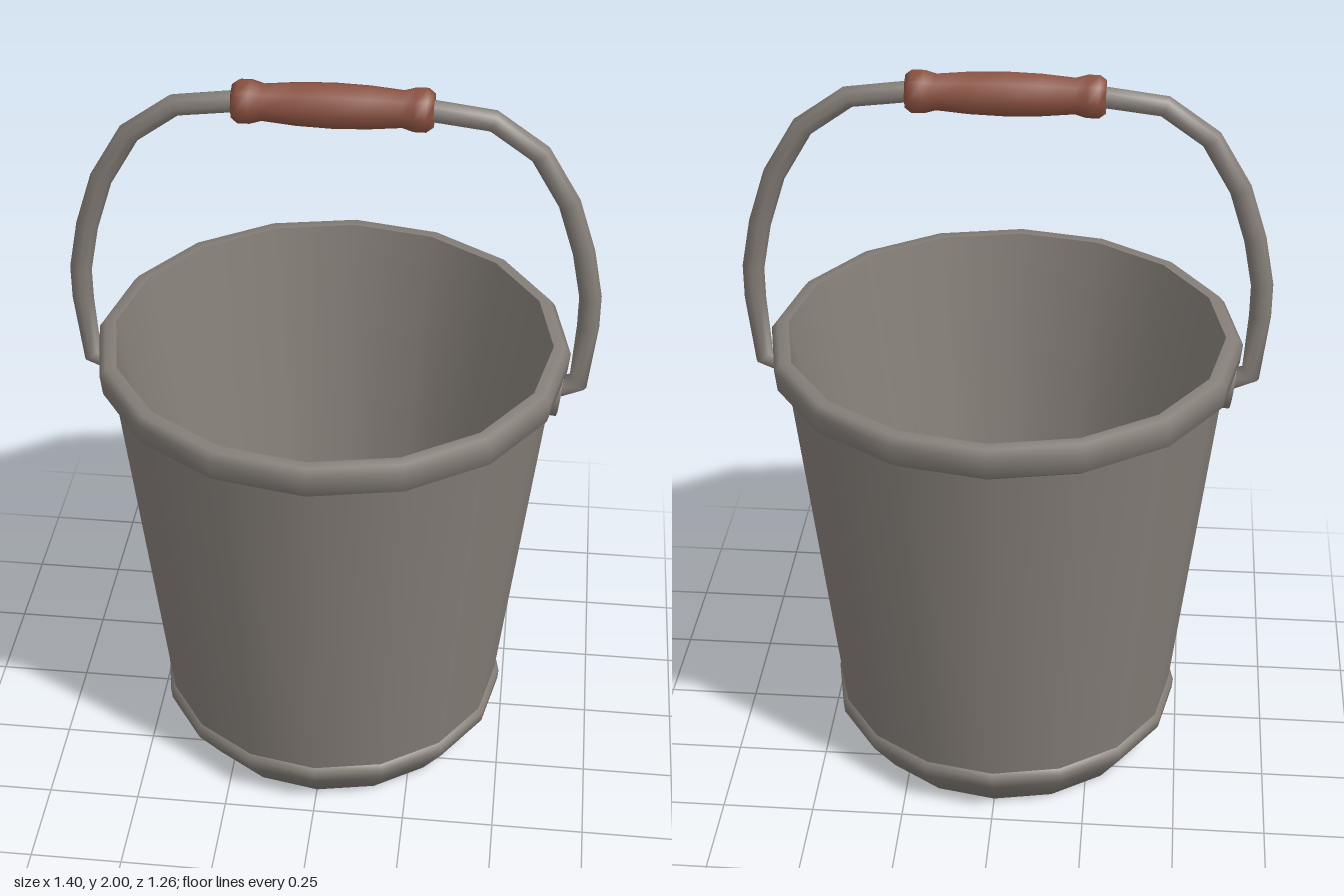
import * as THREE from 'three';

const metal = new THREE.MeshStandardMaterial({ color: 0x857e78 });
metal.name = 'grey metal';
const wood = new THREE.MeshStandardMaterial({ color: 0x8a5140 });
wood.name = 'brown wood';

const SIDES = 16;
const GRIP_Y = 1.94;

function add(parent, name, geometry, material) {
  const mesh = new THREE.Mesh(geometry, material);
  mesh.name = name;
  parent.add(mesh);
  return mesh;
}

const lathe = (profile, sides) =>
  new THREE.LatheGeometry(profile.map(([r, y]) => new THREE.Vector2(r, y)), sides);

// Curve that keeps every corner of a bent wire
class BentWire extends THREE.Curve {
  constructor(points) {
    super();
    this.points = points;
  }
  getPointAt(t, target = new THREE.Vector3()) {
    const p = this.points;
    const f = t * (p.length - 1);
    const i = Math.min(Math.floor(f + 1e-6), p.length - 2);
    return target.lerpVectors(p[i], p[i + 1], f - i);
  }
  getPoint(t, target) {
    return this.getPointAt(t, target);
  }
  getTangentAt(t, target = new THREE.Vector3()) {
    const p = this.points;
    const i = Math.round(t * (p.length - 1));
    const before = new THREE.Vector3();
    const after = new THREE.Vector3();
    if (i > 0) before.subVectors(p[i], p[i - 1]).normalize();
    if (i < p.length - 1) after.subVectors(p[i + 1], p[i]).normalize();
    return target.addVectors(before, after).normalize();
  }
}

export function createModel() {
  const model = new THREE.Group();
  model.name = 'bucket';

  // Bucket shell, each section turned separately to keep its edges crisp
  const body = new THREE.Group();
  body.name = 'body';
  model.add(body);
  add(body, 'foot', lathe([[0, 0], [0.415, 0], [0.487, 0.1], [0.49, 0.13], [0.476, 0.142]], SIDES), metal);
  add(body, 'outerWall', lathe([[0.473, 0.11], [0.594, 1.19]], SIDES), metal);
  add(body, 'rim', lathe([[0.59, 1.17], [0.625, 1.195], [0.631, 1.25], [0.615, 1.27], [0.585, 1.27]], SIDES), metal);
  add(body, 'innerWall', lathe([[0.585, 1.27], [0.363, 0.07]], SIDES), metal);
  add(body, 'floor', lathe([[0.363, 0.07], [0, 0.07]], SIDES), metal);

  // Round ears lying against the sloping wall
  for (const side of [1, -1]) {
    const ear = add(model, side > 0 ? 'leftEar' : 'rightEar',
      new THREE.CylinderGeometry(0.083, 0.083, 0.04, 16), metal);
    ear.position.set(side * 0.589, 1.15, 0);
    ear.rotation.z = side * (-Math.PI / 2 - 0.11);
    if (side < 0) ear.rotation.z = Math.PI / 2 + 0.11;
    // Lean outward toward the top, like the wall
  }

  // Wire bail, half listed and mirrored
  const half = [
    [0.59, 1.14], [0.655, 1.165], [0.67, 1.34], [0.67, 1.43], [0.645, 1.56],
    [0.6, 1.7], [0.52, 1.835], [0.4, 1.92], [0.24, GRIP_Y],
  ];
  const path = [
    ...half.map(([x, y]) => new THREE.Vector3(x, y, 0)),
    ...half.slice().reverse().map(([x, y]) => new THREE.Vector3(-x, y, 0)),
  ];
  add(model, 'bail', new THREE.TubeGeometry(new BentWire(path), path.length - 1, 0.029, 8, false), metal);

  // Turned wooden grip
  const end = [[0, 0.252], [0.045, 0.252], [0.058, 0.235], [0.058, 0.205], [0.049, 0.175], [0.057, 0.09]];
  const gripProfile = [
    ...end.map(([r, x]) => [r, -x]),
    [0.06, 0],
    ...end.slice().reverse(),
  ];
  const grip = add(model, 'grip', lathe(gripProfile, 8), wood);
  grip.rotation.z = Math.PI / 2;
  grip.position.y = GRIP_Y;

  return model;
}
